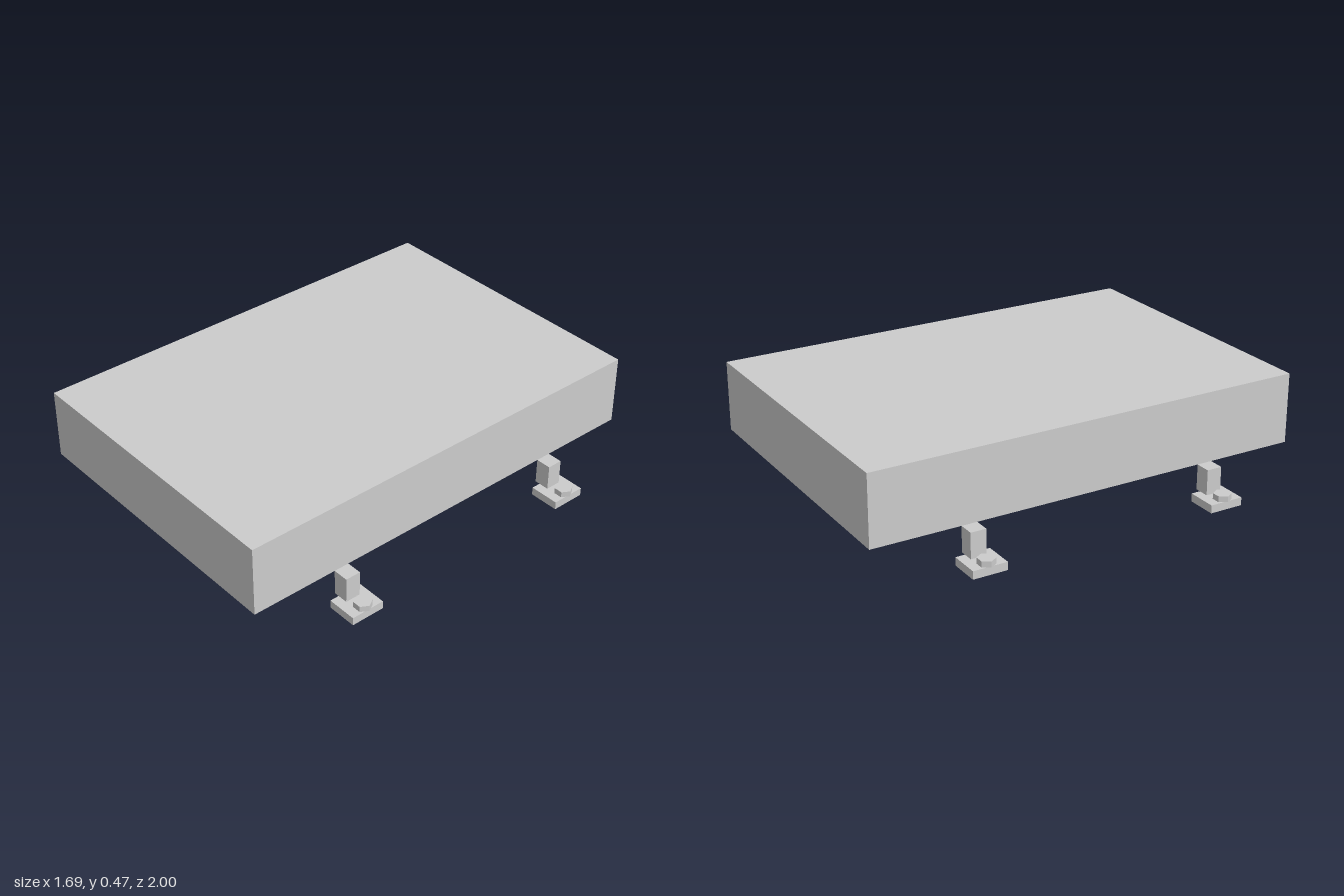
import * as THREE from 'three';

const material = new THREE.MeshStandardMaterial({ color: 0xcccccc, flatShading: true });

function addMesh(parent, name, geometry, x, y, z) {
  const mesh = new THREE.Mesh(geometry, material);
  mesh.name = name;
  mesh.position.set(x, y, z);
  parent.add(mesh);
  return mesh;
}

// One mounting leg: upright post, foot plate and hex bolt head, built outward along +x
function createLeg(name) {
  const leg = new THREE.Group();
  leg.name = name;
  addMesh(leg, 'footPlate', new THREE.BoxGeometry(0.137, 0.036, 0.155), 0.77, 0.018, 0);
  addMesh(leg, 'post', new THREE.BoxGeometry(0.07, 0.114, 0.07), 0.713, 0.093, 0);
  const bolt = addMesh(leg, 'hexBolt', new THREE.CylinderGeometry(0.039, 0.039, 0.026, 6), 0.808, 0.049, 0);
  bolt.rotation.y = Math.PI / 2;
  return leg;
}

export function createModel() {
  const model = new THREE.Group();
  model.name = 'mountedSlab';

  // Main body
  addMesh(model, 'body', new THREE.BoxGeometry(1.356, 0.316, 2), 0, 0.308, 0);

  // Four legs, turned outward on each side
  for (const [side, turn] of [['left', 0], ['right', Math.PI]]) {
    for (const [end, z] of [['Front', 0.567], ['Back', -0.567]]) {
      const leg = createLeg(`${side}${end}Leg`);
      leg.rotation.y = turn;
      leg.position.z = z;
      model.add(leg);
    }
  }
  return model;
}
